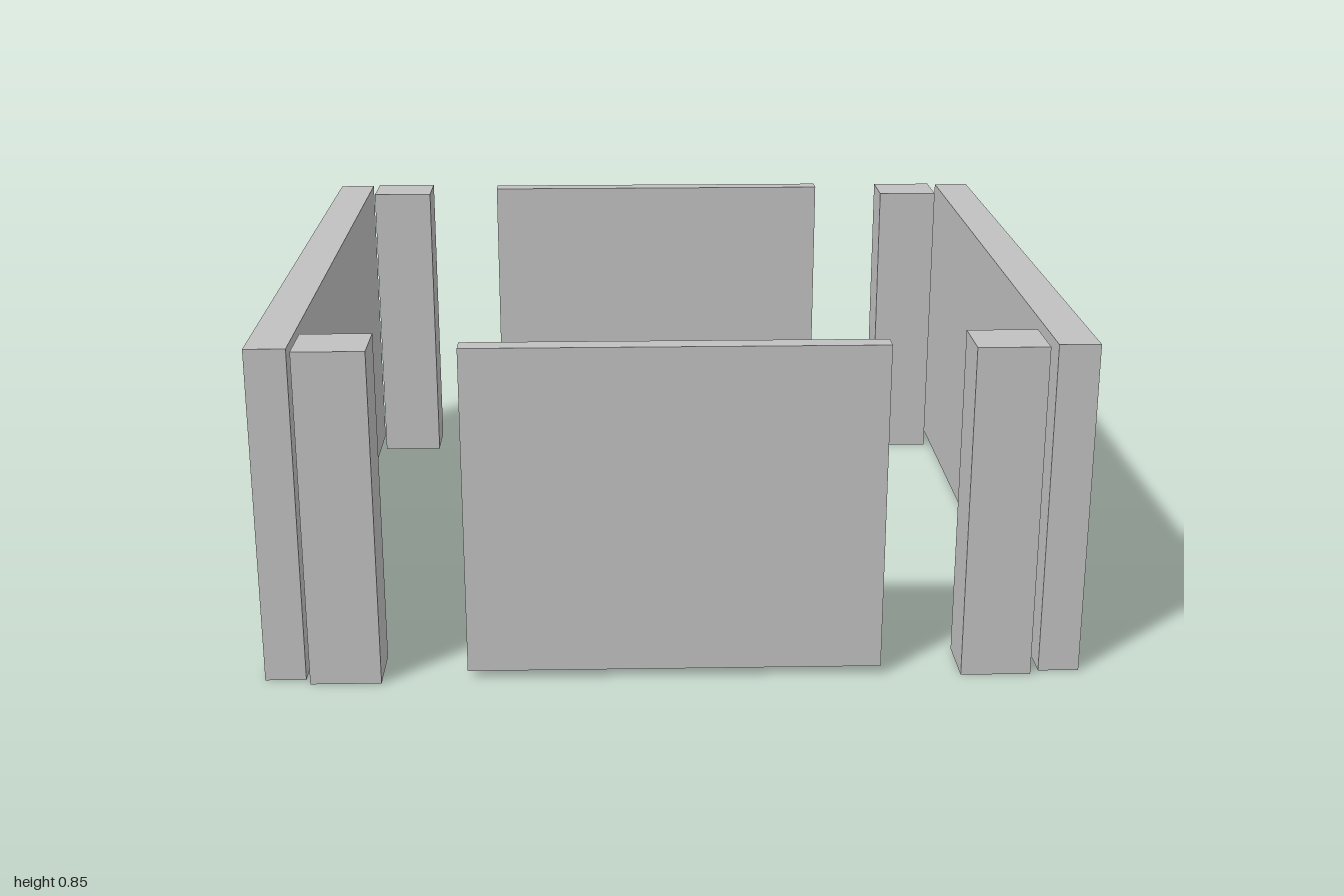
import * as THREE from 'three';

export function createModel() {
  const group = new THREE.Group();
  const grey = new THREE.MeshStandardMaterial({ color: 0xc0c0c0 });
  grey.name = 'plain grey';
  const top = 0.845;

  // Upright board given by its x, z and bottom limits
  function board(name, x0, x1, z0, z1, bottom = 0, height = top) {
    const mesh = new THREE.Mesh(new THREE.BoxGeometry(x1 - x0, height - bottom, z1 - z0), grey);
    mesh.position.set((x0 + x1) / 2, (bottom + height) / 2, (z0 + z1) / 2);
    mesh.name = name;
    group.add(mesh);
  }

  // Long side walls
  board('rightWall', -1, -0.9, -0.91, 0.895);
  board('leftWall', 0.9, 1, -0.91, 0.895, 0, 0.84);

  // Thin end panels, raised slightly off the ground
  board('frontPanel', -0.505, 0.508, 0.852, 0.903, 0.022);
  board('backPanel', -0.505, 0.508, -0.907, -0.855, 0.022);

  // Corner posts, each set a little unevenly
  board('frontRightPost', -0.887, -0.714, 0.772, 0.92);
  board('backRightPost', -0.882, -0.71, -0.925, -0.78);
  board('frontLeftPost', 0.705, 0.877, 0.766, 0.913, 0, 0.84);
  board('backLeftPost', 0.705, 0.877, -0.92, -0.773, 0, 0.84);

  return group;
}
